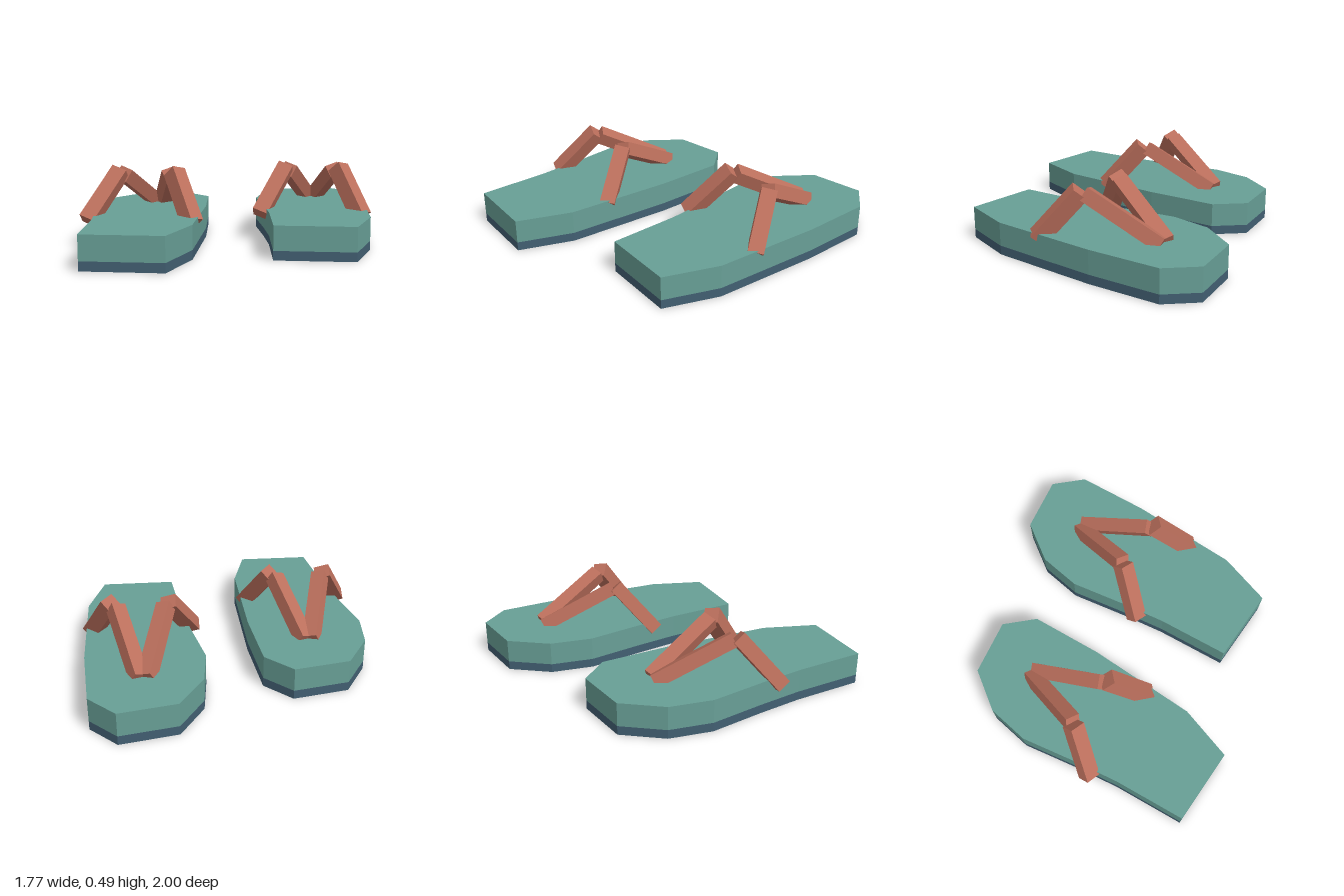
import * as THREE from 'three';

const teal = new THREE.MeshStandardMaterial({ name: 'teal foam', color: 0x689f96 });
const slate = new THREE.MeshStandardMaterial({ name: 'slate rubber', color: 0x425f72 });
const coral = new THREE.MeshStandardMaterial({ name: 'coral strap', color: 0xbb6f5c });

// Sole outline as [x, z], relative to the sandal's centre
const outline = [
  [0.15, -0.64], [0.31, -0.48], [0.35, -0.03], [0.36, 0.66], [0.265, 1.0], [-0.205, 1.0],
  [-0.25, 0.555], [-0.30, 0.27], [-0.37, -0.07], [-0.34, -0.335], [-0.19, -0.575],
];

// Flat slab of the sole between two heights
function slab(name, y0, y1, material) {
  const shape = new THREE.Shape(outline.map(([x, z]) => new THREE.Vector2(x, -z)));
  const geo = new THREE.ExtrudeGeometry(shape, { depth: y1 - y0, bevelEnabled: false });
  geo.rotateX(-Math.PI / 2);
  geo.translate(0, y0, 0);
  const mesh = new THREE.Mesh(geo, material);
  mesh.name = name;
  return mesh;
}

// Square-edged bar from a to b; `across` sets the roll about its axis
function bar(name, a, b, across, width, thickness) {
  const start = new THREE.Vector3(...a), end = new THREE.Vector3(...b);
  const axis = end.clone().sub(start);
  const length = axis.length();
  axis.normalize();
  const side = new THREE.Vector3(...across);
  side.addScaledVector(axis, -side.dot(axis)).normalize();
  const normal = new THREE.Vector3().crossVectors(axis, side);
  const mesh = new THREE.Mesh(new THREE.BoxGeometry(width, length, thickness), coral);
  mesh.quaternion.setFromRotationMatrix(
    new THREE.Matrix4().makeBasis(side, axis, normal.crossVectors(side, axis)));
  mesh.position.copy(start).add(end).multiplyScalar(0.5);
  mesh.name = name;
  return mesh;
}

function sandal(name) {
  const group = new THREE.Group();
  group.name = name;
  group.add(slab('outsole', 0, 0.055, slate), slab('footbed', 0.055, 0.2, teal));

  // Steep front bars, rising from the edges of the sole
  group.add(
    bar('rightStrapFront', [-0.315, 0.165, 0.395], [-0.16, 0.445, 0.175], [0.085, -0.04, 0.03], 0.098, 0.085),
    bar('leftStrapFront', [0.32, 0.16, 0.388], [0.18, 0.445, 0.178], [0.065, -0.02, -0.065], 0.094, 0.1));

  // Long bars, sloping down to meet at the toe post
  for (const s of [-1, 1]) {
    group.add(bar(s < 0 ? 'rightStrapBack' : 'leftStrapBack',
      [s * 0.15 + 0.005, 0.428, 0.16], [s * 0.02 + 0.005, 0.19, -0.28], [-s, -0.4, 0.3], 0.09, 0.085));
  }
  return group;
}

export function createModel() {
  const model = new THREE.Group();
  model.name = 'pairOfSandals';
  const right = sandal('rightSandal');
  right.position.set(-0.52, 0, 0);
  const left = sandal('leftSandal');
  left.position.set(0.5, 0, -0.36);
  model.add(right, left);
  return model;
}
